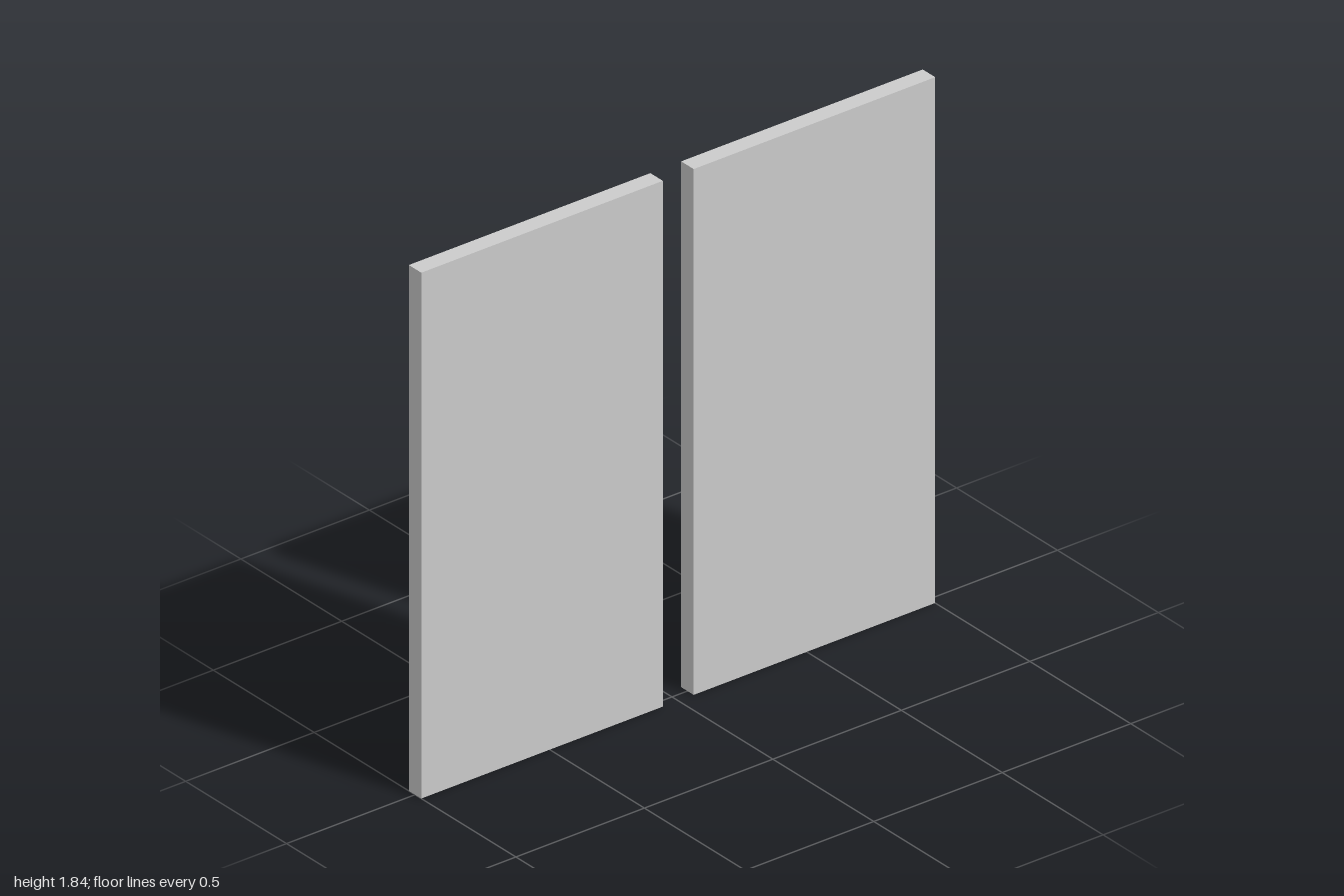
import * as THREE from 'three';

const HEIGHT = 1.84, WIDTH = 0.94, THICK = 0.062, BORDER = 0.027, RECESS = 0.005;

function rectangle(PathType, w, h) {
  return new PathType([
    new THREE.Vector2(-w / 2, -h / 2), new THREE.Vector2(w / 2, -h / 2),
    new THREE.Vector2(w / 2, h / 2), new THREE.Vector2(-w / 2, h / 2),
  ]);
}

function createPanel(name, z, material) {
  const panel = new THREE.Group();
  panel.name = name;

  // Solid slab, plain on the +x side
  const slab = new THREE.Mesh(new THREE.BoxGeometry(THICK - RECESS, HEIGHT, WIDTH), material);
  slab.name = 'slab';
  slab.position.x = RECESS / 2;

  // Thin raised border around the -x side
  const outline = rectangle(THREE.Shape, WIDTH, HEIGHT);
  outline.holes.push(rectangle(THREE.Path, WIDTH - 2 * BORDER, HEIGHT - 2 * BORDER));
  const geometry = new THREE.ExtrudeGeometry(outline, { depth: RECESS, bevelEnabled: false });
  geometry.rotateY(-Math.PI / 2);
  const border = new THREE.Mesh(geometry, material);
  border.name = 'border';
  border.position.x = -THICK / 2 + RECESS;

  panel.add(slab, border);
  panel.position.set(0, HEIGHT / 2, z);
  return panel;
}

export function createModel() {
  const model = new THREE.Group();
  model.name = 'panelPair';
  const material = new THREE.MeshStandardMaterial({ color: 0xcccccc });

  // Two matching panels with a gap between them
  const offset = 1 - WIDTH / 2;
  model.add(createPanel('frontPanel', offset, material));
  model.add(createPanel('backPanel', -offset, material));
  return model;
}
